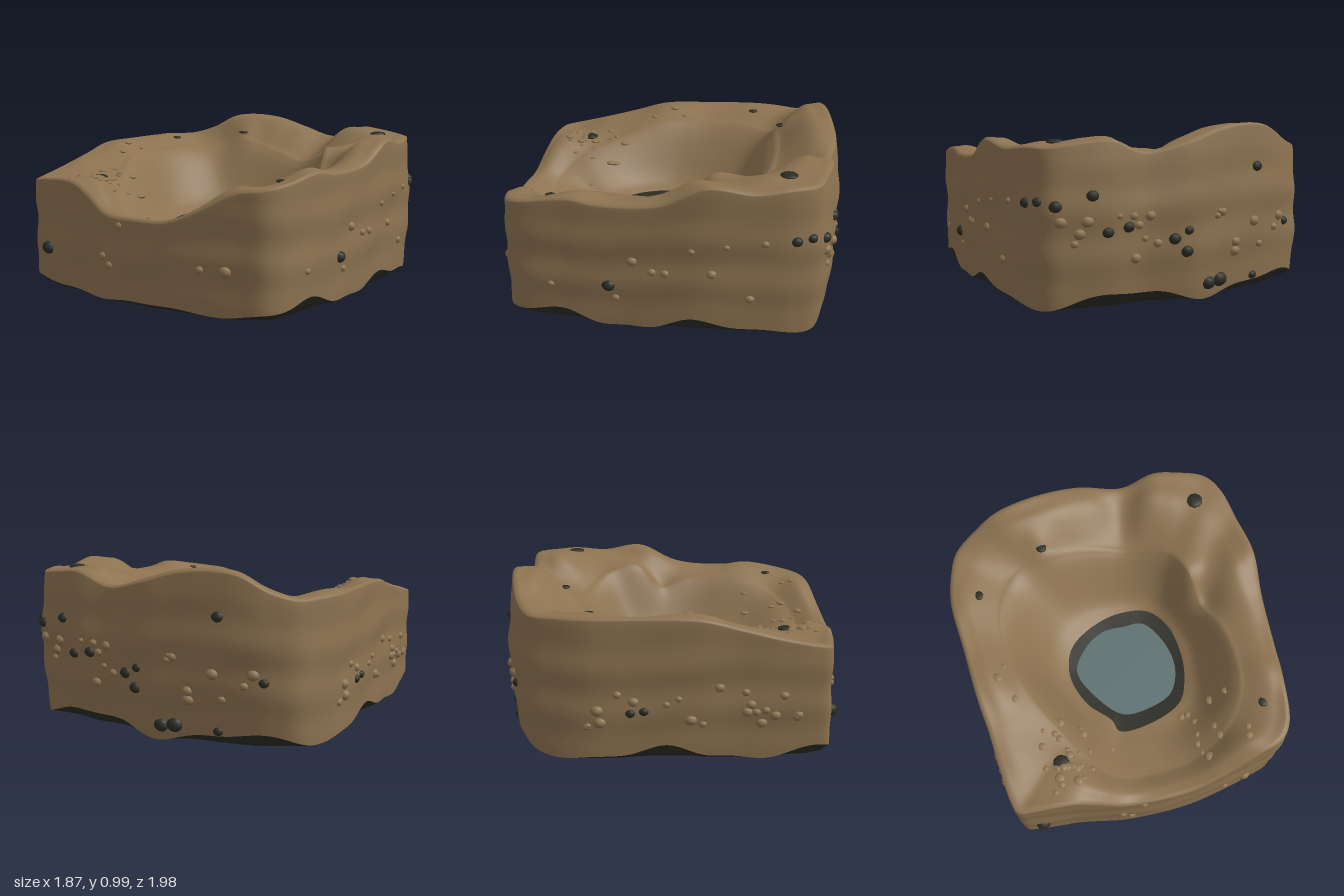
import * as THREE from 'three';
import { mergeGeometries } from 'three/addons/utils/BufferGeometryUtils.js';

const CX = 0.02, CZ = 0.1, N = 300;
const { smoothstep, lerp } = THREE.MathUtils;

// Closed loop of [x, z, height] points, read back as radius and height by angle
function makeLoop(points) {
  const curve = new THREE.CatmullRomCurve3(points.map(([x, z, h]) => new THREE.Vector3(x, h, z)), true);
  const s = curve.getPoints(600).slice(0, -1).map(p => ({
    a: Math.atan2(p.z - CZ, p.x - CX), r: Math.hypot(p.x - CX, p.z - CZ), h: p.y,
  })).sort((p, q) => p.a - q.a);
  const first = s[0], last = s[s.length - 1];
  s.unshift({ ...last, a: last.a - 2 * Math.PI });
  s.push({ ...first, a: first.a + 2 * Math.PI });
  return a => {
    a = Math.atan2(Math.sin(a), Math.cos(a));
    let i = 1;
    while (i < s.length - 1 && s[i].a < a) i++;
    const p = s[i - 1], q = s[i], k = (a - p.a) / Math.max(q.a - p.a, 1e-6);
    return { r: lerp(p.r, q.r, k), h: lerp(p.h, q.h, k) };
  };
}

const WATER = 0.39, SHORE = 0.4;
const water = makeLoop([[-0.28, 0.05], [-0.18, -0.1], [-0.05, -0.17], [0.08, -0.17], [0.2, -0.16], [0.3, 0],
  [0.32, 0.18], [0.25, 0.33], [0.1, 0.39], [-0.07, 0.39], [-0.2, 0.25]].map(p => [...p, WATER]));
const shore = makeLoop([[-0.33, 0.07], [-0.28, -0.1], [-0.15, -0.2], [0.05, -0.26], [0.25, -0.23], [0.35, -0.1],
  [0.38, 0.1], [0.36, 0.25], [0.29, 0.4], [0.1, 0.485], [-0.12, 0.49], [-0.15, 0.41], [-0.27, 0.27]].map(p => [...p, SHORE]));
// Top of the steep crater slope
const shoulder = makeLoop([[-0.66, 0, 0.78], [-0.64, -0.3, 0.78], [-0.5, -0.5, 0.79], [-0.25, -0.57, 0.79],
  [0, -0.57, 0.76], [0.2, -0.52, 0.73], [0.42, -0.42, 0.8], [0.5, -0.25, 0.84], [0.54, -0.08, 0.71], [0.61, 0.1, 0.74],
  [0.63, 0.3, 0.74], [0.6, 0.5, 0.72], [0.48, 0.67, 0.62], [0.27, 0.78, 0.51], [0, 0.8, 0.48], [-0.2, 0.78, 0.51],
  [-0.35, 0.65, 0.61], [-0.48, 0.48, 0.7], [-0.6, 0.25, 0.75]]);
// Outer edge of the block with the rim height
const rim = makeLoop([[0, -0.93, 0.91], [-0.2, -0.91, 0.97], [-0.4, -0.88, 0.99], [-0.55, -0.85, 0.97], [-0.7, -0.8, 0.89],
  [-0.82, -0.72, 0.85], [-0.88, -0.58, 0.85], [-0.915, -0.4, 0.85], [-0.9, -0.1, 0.85], [-0.885, 0.2, 0.84], [-0.865, 0.4, 0.79],
  [-0.855, 0.6, 0.74], [-0.835, 0.8, 0.7], [-0.81, 0.875, 0.69], [-0.74, 0.89, 0.7], [-0.5, 0.91, 0.7], [-0.36, 0.935, 0.64],
  [-0.2, 0.965, 0.55], [0, 0.98, 0.54], [0.22, 0.975, 0.55], [0.4, 0.945, 0.62], [0.6, 0.9, 0.72], [0.74, 0.86, 0.74],
  [0.81, 0.77, 0.76], [0.85, 0.5, 0.8], [0.865, 0.33, 0.78], [0.885, 0, 0.8], [0.895, -0.25, 0.91], [0.87, -0.5, 0.88],
  [0.83, -0.7, 0.9], [0.76, -0.82, 0.9], [0.6, -0.875, 0.92], [0.45, -0.9, 0.93], [0.25, -0.89, 0.86]]);

const at = (a, r, y) => new THREE.Vector3(CX + r * Math.cos(a), y, CZ + r * Math.sin(a));
const bump = (x, z, px, pz, size) => Math.exp(-((x - px) ** 2 + (z - pz) ** 2) / size ** 2);

// Ground surface: t 0..1 climbs the crater, 1..2 crosses the rim
function ground(a, t) {
  const s = shore(a), m = shoulder(a), o = rim(a), k = t - 1;
  const r = t < 1 ? lerp(s.r, m.r, t) : lerp(m.r, o.r, k);
  const y = t < 1 ? lerp(s.h, m.h, 0.5 * t + 0.5 * smoothstep(t, 0.15, 1)) : lerp(m.h, o.h, smoothstep(k, -0.1, 0.7));
  const p = at(a, r, y), { x, z } = p;
  const fade = smoothstep(t, 0, 0.5) * (1 - smoothstep(t, 1.7, 2));
  // Start of the rim slope eased so that it meets the crater slope
  if (t > 1) p.y -= (m.h < o.h ? 1 : -1) * Math.abs(o.h - m.h) * 0.043 * (1 - smoothstep(k, 0, 0.3));
  p.y += fade * 0.008 * (Math.sin(9 * x + 5 * z) + Math.sin(13 * z - 7 * x + 1));
  p.y += fade * (0.04 * bump(x, z, -0.32, -0.6, 0.09) - 0.05 * bump(x, z, 0.2, -0.72, 0.12)
    - 0.04 * bump(x, z, 0.58, -0.1, 0.09) + 0.02 * bump(x, z, -0.45, 0.65, 0.14));
  p.y -= 0.01 * smoothstep(t, 1.95, 2);
  return p;
}

// Side wall: v 0 at the rim, 1 at the wavy lower edge, which is calmer along the front
function baseHeight(a) {
  const wave = 0.035 * Math.sin(7 * a - 2.3) + 0.012 * Math.sin(16 * a);
  const front = smoothstep(a, 0.8, 1.1) * (1 - smoothstep(a, 2.2, 2.5));
  return lerp(0.1 + wave, 0.08 + 0.3 * wave, front);
}
function wall(a, v) {
  const o = rim(a), y = lerp(o.h - 0.018, baseHeight(a), v);
  const swell = Math.sin(Math.PI * v);
  const back = 0.03 * smoothstep(-Math.sin(a), 0.5, 0.9);
  const strata = 0.006 * Math.sin(24 * y + 0.6 * Math.sin(4 * a)) + 0.005 * Math.sin(11 * a + 9 * y);
  return at(a, o.r + 0.003 + swell * (0.004 + back + strata), y);
}

// Skin joining successive rings, closed around the middle
function skin(rows) {
  const pos = [], idx = [];
  rows.forEach(row => {
    for (let i = 0; i < N; i++) pos.push(...row(-Math.PI + (i / N) * 2 * Math.PI).toArray());
  });
  for (let j = 0; j < rows.length - 1; j++) {
    for (let i = 0; i < N; i++) {
      const n = (i + 1) % N, A = j * N + i, D = j * N + n, B = A + N, C = D + N;
      idx.push(A, D, B, B, D, C);
    }
  }
  const g = new THREE.BufferGeometry();
  g.setAttribute('position', new THREE.Float32BufferAttribute(pos, 3));
  g.setIndex(idx);
  g.computeVertexNormals();
  return g;
}
const steps = (n, fn) => Array.from({ length: n + 1 }, (_, i) => fn(i / n));

// Squashed pebble
function pebble(p, size, squash) {
  return new THREE.SphereGeometry(size, 10, 7).scale(1, squash, 1).translate(p.x, p.y, p.z);
}
// Pebble set into the side wall, found by the direction of x, z and a height
function wallPebble([x, z, y, size]) {
  const a = Math.atan2(z - CZ, x - CX), top = rim(a).h - 0.018, low = baseHeight(a);
  const p = wall(a, (top - y) / (top - low));
  return pebble(p.sub(at(a, size * 0.35, 0)).add(at(a, 0, 0)), size, 0.85);
}
// Pebble bedded in the ground
function groundPebble([x, z, size, squash = 0.4]) {
  const a = Math.atan2(z - CZ, x - CX), r = Math.hypot(x - CX, z - CZ);
  let t = 0, p = ground(a, 0);
  while (t < 2 && Math.hypot(p.x - CX, p.z - CZ) < r) p = ground(a, t += 0.01);
  return pebble(p, size, squash);
}

export function createModel() {
  const group = new THREE.Group();
  const earthMat = new THREE.MeshStandardMaterial({ color: 0x8c7250 });
  const darkMat = new THREE.MeshStandardMaterial({ color: 0x2b2c24 });
  const waterMat = new THREE.MeshStandardMaterial({ color: 0x5c6f70 });
  earthMat.name = 'earth';
  darkMat.name = 'dark stone';
  waterMat.name = 'water';
  const add = (name, geometry, material) => {
    const mesh = new THREE.Mesh(geometry, material);
    mesh.name = name;
    group.add(mesh);
  };

  // Pool and its wet shore
  add('pool', skin([a => at(a, 0, WATER), a => at(a, water(a).r, WATER)]), waterMat);
  add('shore', skin([a => at(a, water(a).r, WATER), a => at(a, shore(a).r, SHORE)]), darkMat);

  // Crater, rim and side walls in one smooth skin
  add('earth', skin([
    ...steps(40, k => a => ground(a, 2 * k)),
    ...steps(24, v => a => wall(a, v)),
  ]), earthMat);

  // Dark underside curving in from the wavy lower edge
  add('underside', skin([
    a => wall(a, 1),
    a => at(a, rim(a).r * 0.965, lerp(0.045, baseHeight(a), 0.45)),
    a => at(a, rim(a).r * 0.9, 0.045),
    a => at(a, rim(a).r * 0.78, 0.03),
    a => at(a, 0, 0.025),
  ]), darkMat);
  add('footStone', pebble(new THREE.Vector3(0.33, 0.022, 0.57), 0.025, 0.85), darkMat);

  // Dark stones
  add('darkStones', mergeGeometries([
    ...[[-0.7, 0.89, 0.29, 0.047], [0.87, 0.28, 0.31, 0.04], [0.84, -0.72, 0.61, 0.033], [0.8, -0.79, 0.62, 0.03],
      [0.73, -0.85, 0.6, 0.036], [0.55, -0.89, 0.65, 0.036], [0.47, -0.9, 0.46, 0.035], [0.36, -0.91, 0.48, 0.036],
      [0.1, -0.95, 0.4, 0.038], [0.03, -0.95, 0.33, 0.038], [0.02, -0.95, 0.44, 0.03], [-0.45, -0.89, 0.75, 0.036],
      [-0.68, -0.82, 0.42, 0.03], [-0.2, -0.93, 0.15, 0.05], [-0.12, -0.94, 0.14, 0.045], [-0.45, -0.89, 0.14, 0.03],
      [-0.89, -0.18, 0.33, 0.028], [-0.89, -0.11, 0.34, 0.028]].map(wallPebble),
    ...[[0.65, -0.66, 0.05], [-0.32, -0.6, 0.032], [-0.75, -0.41, 0.03], [-0.51, 0.66, 0.048], [0.7, 0.62, 0.03]]
      .map(p => groundPebble([...p, 0.3])),
  ]), darkMat);

  // Earth-coloured pebbles: some placed, the rest scattered on the left, back and front slopes
  let seed = 7;
  const random = () => (seed = (seed * 16807) % 2147483647) / 2147483647;
  const onWalls = [], onSlopes = [];
  for (let i = 0; i < 40; i++) {
    const y = 0.25 + random() * 0.25, size = 0.018 + random() * 0.02;
    onWalls.push(i % 2 ? [-0.89, -0.5 + random() * 1.25, y, size] : [-0.7 + random() * 1.45, -0.9, y + 0.05, size]);
    const x = i % 3 ? -0.6 + random() * 0.28 : 0.22 + random() * 0.38;
    onSlopes.push([x, 0.42 + random() * 0.4, 0.014 + random() * 0.016]);
  }
  add('pebbles', mergeGeometries([
    ...[[-0.22, 0.95, 0.31, 0.026], [-0.17, 0.96, 0.265, 0.028], [-0.1, 0.97, 0.49, 0.025], [0.41, 0.94, 0.31, 0.026],
      [0.54, 0.9, 0.31, 0.038], [0.87, 0.15, 0.46, 0.034], [0.88, 0.04, 0.41, 0.026], [0.88, -0.03, 0.41, 0.026],
      [0.89, -0.28, 0.42, 0.03], [0.89, -0.17, 0.55, 0.022], [0.87, -0.48, 0.28, 0.028], [0.84, 0.6, 0.29, 0.022],
      [0.86, 0.24, 0.24, 0.025], [0.86, -0.55, 0.6, 0.024], [0.88, -0.35, 0.58, 0.02], [-0.84, 0.7, 0.3, 0.028]].map(wallPebble),
    ...onWalls.map(wallPebble),
    ...[[-0.2, 0.6, 0.015], [-0.68, 0.25, 0.022], [-0.75, 0.12, 0.028], [-0.7, 0.05, 0.02]].map(p => groundPebble(p)),
    ...onSlopes.map(p => groundPebble(p)),
  ]), earthMat);

  return group;
}
